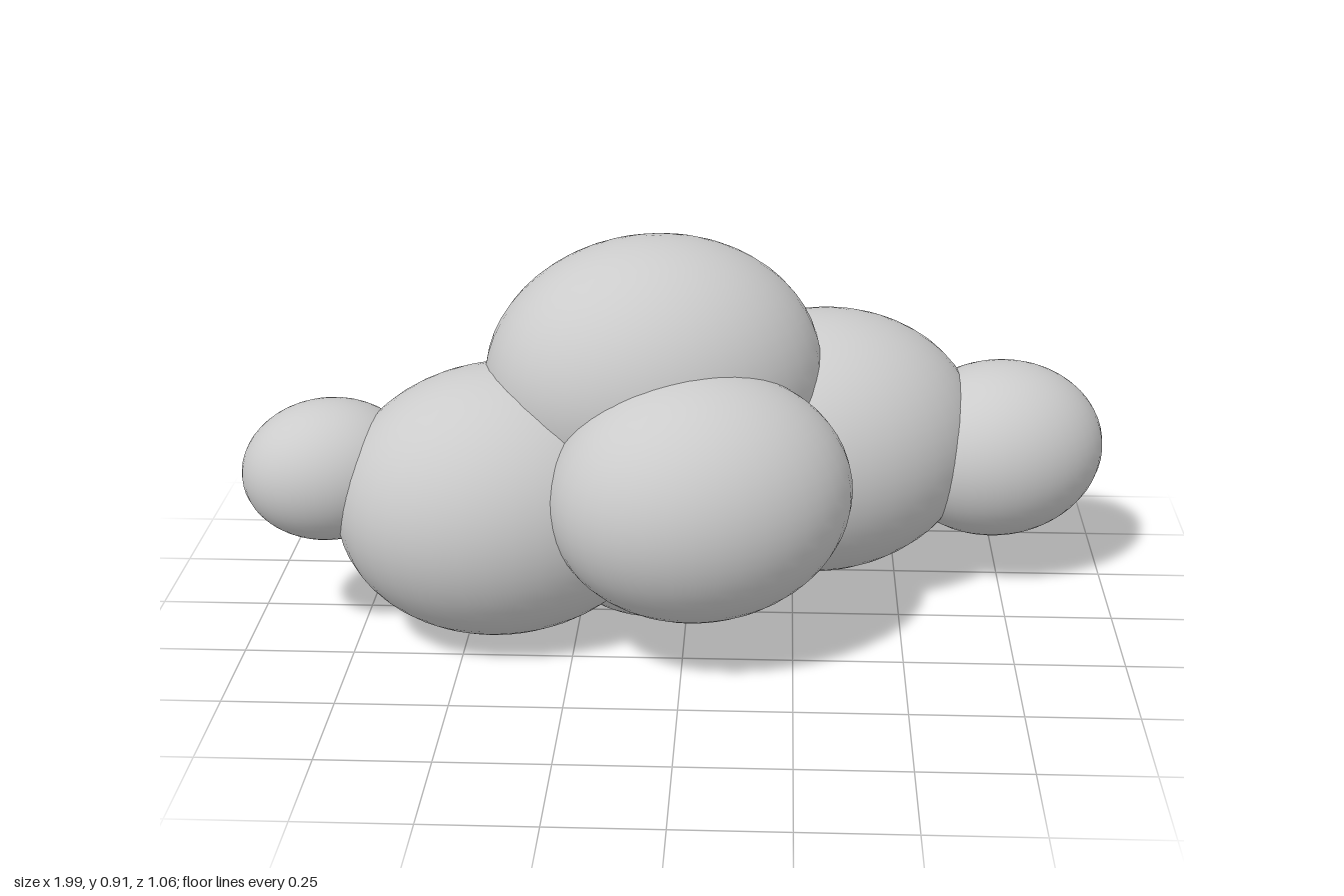
import * as THREE from 'three';

// Each puff: name, centre x, y, z and radius
const PUFFS = [
  ['topPuff', -0.075, 0.593, -0.02, 0.318],
  ['frontPuff', 0.04, 0.4, 0.245, 0.28],
  ['backPuff', -0.145, 0.405, -0.27, 0.22],
  ['bottomPuff', -0.06, 0.222, -0.018, 0.22],
  ['leftPuff', 0.31, 0.365, -0.205, 0.315],
  ['leftEndPuff', 0.738, 0.328, -0.262, 0.212],
  ['rightPuff', -0.413, 0.328, 0.098, 0.313],
  ['rightEndPuff', -0.805, 0.403, 0.125, 0.162],
];
const STRETCH = 1.23; // puffs are longer along the cloud
const TURN = THREE.MathUtils.degToRad(20.5);

export function createModel() {
  const cloud = new THREE.Group();
  cloud.name = 'cloud';
  const material = new THREE.MeshStandardMaterial({ color: 0xcccccc });
  const ball = new THREE.SphereGeometry(1, 40, 28);

  // Overlapping stretched balls, all turned the same way
  for (const [name, x, y, z, r] of PUFFS) {
    const puff = new THREE.Mesh(ball, material);
    puff.name = name;
    puff.position.set(x, y, z);
    puff.scale.set(r * STRETCH, r, r);
    puff.rotation.y = TURN;
    cloud.add(puff);
  }
  return cloud;
}
